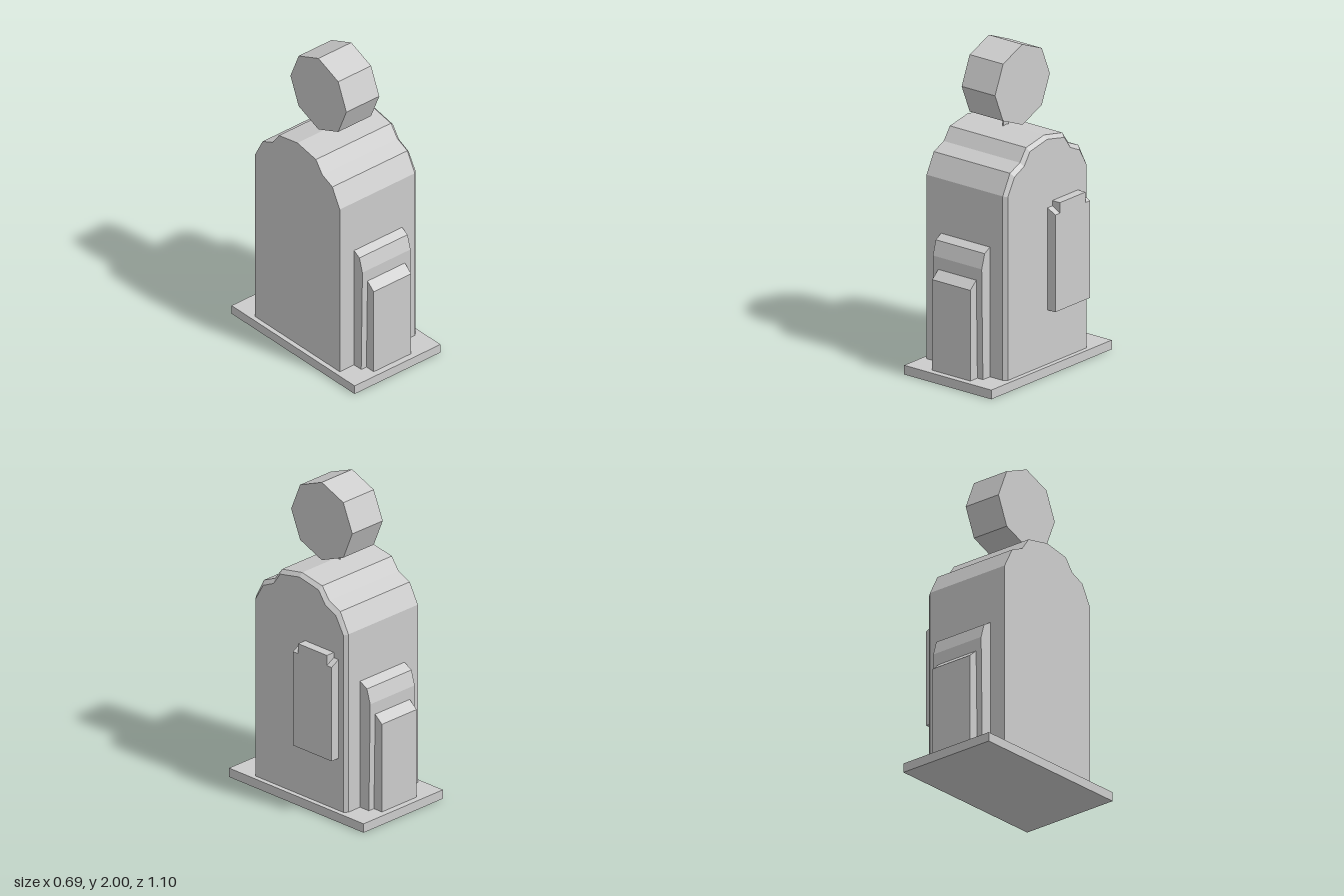
import * as THREE from 'three';

export function createModel() {
  const model = new THREE.Group();
  const grey = new THREE.MeshStandardMaterial({ color: 0xcccccc });
  grey.name = 'plain grey';
  grey.flatShading = true;

  function add(name, geometry, parent = model) {
    const mesh = new THREE.Mesh(geometry, grey);
    mesh.name = name;
    parent.add(mesh);
    return mesh;
  }
  function box(name, x0, x1, y0, y1, z0, z1, parent) {
    const g = new THREE.BoxGeometry(x1 - x0, y1 - y0, z1 - z0);
    add(name, g, parent).position.set((x0 + x1) / 2, (y0 + y1) / 2, (z0 + z1) / 2);
  }
  // Extrude a [z, y] profile along x
  function sideExtrude(profile, x0, x1, steps = 1) {
    const shape = new THREE.Shape(profile.map(([z, y]) => new THREE.Vector2(-z, y)));
    const g = new THREE.ExtrudeGeometry(shape, { depth: x1 - x0, steps, bevelEnabled: false });
    return g.rotateY(Math.PI / 2).translate(x0, 0, 0);
  }

  box('base', -0.345, 0.315, 0, 0.057, -0.55, 0.55);

  // Body with stepped shoulders
  const half = [[0.378, 0.057], [0.378, 1.2], [0.312, 1.325], [0.222, 1.365], [0.165, 1.443]];
  const outline = [...half, [0, 1.475], ...half.map(([z, y]) => [-z, y]).reverse()];
  const body = sideExtrude(outline, -0.315, 0.285, 2);
  const p = body.attributes.position;
  for (let i = 0; i < p.count; i++) {
    // The middle ring moves out to start the chamfer, the last ring shrinks
    if (Math.abs(p.getX(i) + 0.015) < 0.01) p.setX(i, 0.262);
    else if (p.getX(i) > 0.28) {
      const y = p.getY(i);
      p.setZ(i, p.getZ(i) * 0.952);
      if (y > 1.1) p.setY(i, y - (y > 1.25 ? 0.022 : 0.006));
    }
  }
  body.translate(0, 0, 0.004).computeVertexNormals();
  add('body', body);

  // Octagonal head, point down, on a thin neck
  const head = new THREE.CylinderGeometry(0.25, 0.25, 0.253, 8).rotateZ(Math.PI / 2);
  add('head', head).position.set(-0.028, 1.75, 0.005);
  box('neck', -0.03, -0.026, 1.44, 1.52, -0.02, 0.03);

  // Stepped foot panels on the front and back
  const outer = [[0.36, 0.057], [0.446, 0.057], [0.457, 0.745], [0.43, 0.835], [0.36, 0.875]];
  const inner = [[0.43, 0.057], [0.511, 0.057], [0.511, 0.62], [0.43, 0.69]];
  for (const [side, s] of [['front', 1], ['back', -1]]) {
    const mirror = (pts) => pts.map(([z, y]) => [z * s, y]);
    add(side + 'OuterPanel', sideExtrude(mirror(outer), -0.205, 0.165));
    add(side + 'InnerPanel', sideExtrude(mirror(inner), -0.165, 0.123));
  }

  // Side pack with a raised centre and sloping shoulders
  const pack = new THREE.Group();
  pack.name = 'sidePack';
  model.add(pack);
  box('packCentre', 0.27, 0.343, 0.392, 1.06, -0.277, -0.043, pack);
  const shoulder = new THREE.Shape([[0.27, 0.392], [0.343, 0.392], [0.343, 0.995], [0.27, 1.035]]
    .map(([x, y]) => new THREE.Vector2(x, y)));
  for (const [name, z0, z1] of [['packBackShoulder', -0.316, -0.277], ['packFrontShoulder', -0.043, 0]]) {
    const g = new THREE.ExtrudeGeometry(shoulder, { depth: z1 - z0, bevelEnabled: false });
    add(name, g.translate(0, 0, z0), pack);
  }
  return model;
}
